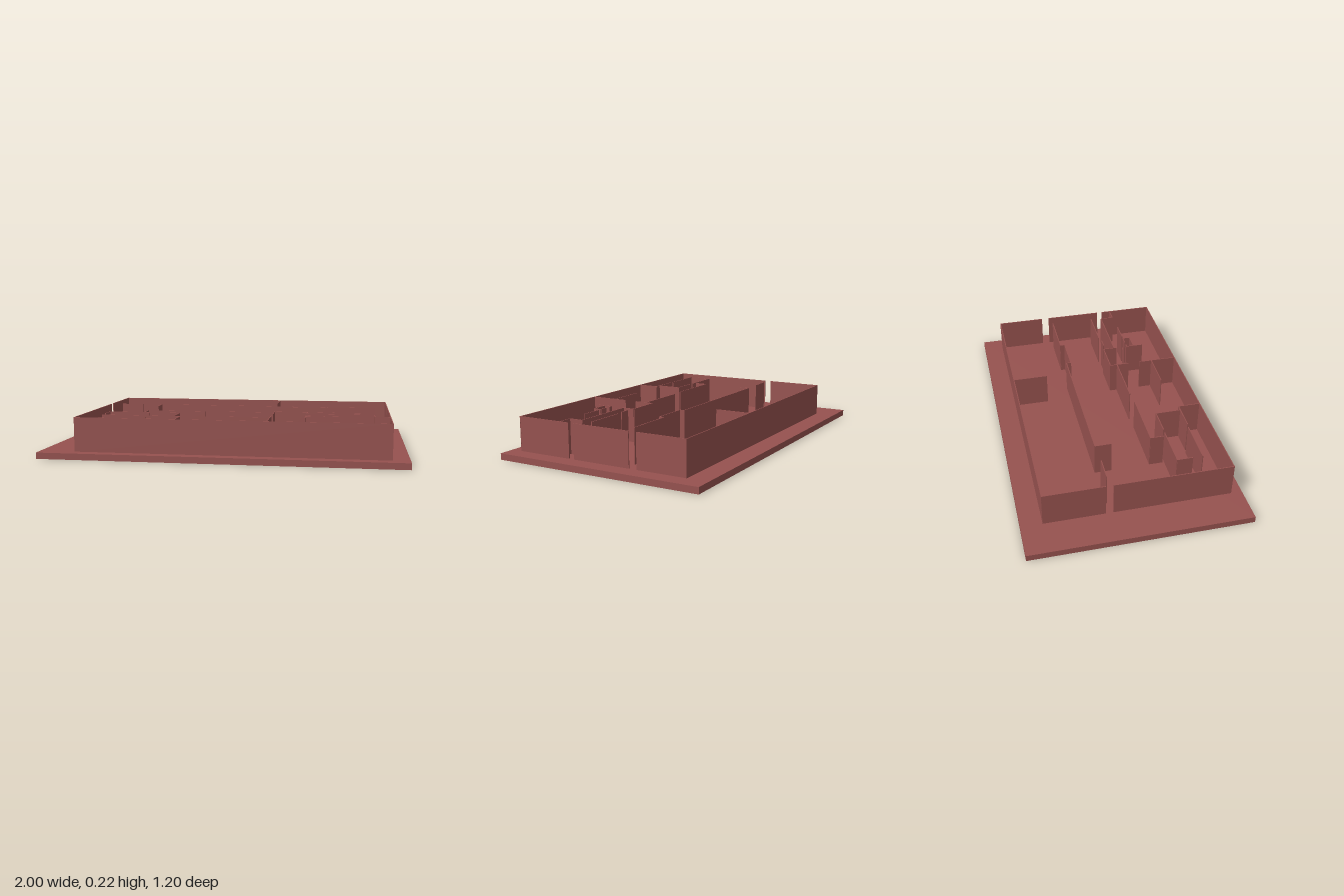
import * as THREE from 'three';

const BASE = 0.035, TOP = 0.225, T = 0.005;

export function createModel() {
  const model = new THREE.Group();
  const material = new THREE.MeshStandardMaterial({ color: 0x96524f, flatShading: true });

  function box(name, parent, x0, x1, y0, y1, z0, z1) {
    const mesh = new THREE.Mesh(new THREE.BoxGeometry(x1 - x0, y1 - y0, z1 - z0), material);
    mesh.position.set((x0 + x1) / 2, (y0 + y1) / 2, (z0 + z1) / 2);
    mesh.name = name;
    parent.add(mesh);
  }
  // Walls running along x (at depth z) or along z (at position x)
  const wallX = (name, parent, z, a, b) => box(name, parent, a, b, BASE, TOP, z - T / 2, z + T / 2);
  const wallZ = (name, parent, x, a, b) => box(name, parent, x - T / 2, x + T / 2, BASE, TOP, a, b);

  // Ground slab
  box('floorSlab', model, -1, 1, 0, BASE, -0.6, 0.6);

  // Outer walls with door gaps at both ends
  const outer = new THREE.Group();
  outer.name = 'outerWalls';
  model.add(outer);
  wallX('backWall', outer, -0.481, -0.802, 0.908, );
  wallX('frontWall', outer, 0.537, -0.802, 0.908);
  for (const [a, b] of [[-0.483, -0.2], [-0.155, 0.185], [0.215, 0.537]]) wallZ('rightWall', outer, 0.905, a, b);
  for (const [a, b] of [[-0.483, -0.15], [-0.11, 0.537]]) wallZ('leftWall', outer, -0.8, a, b);

  // Inner partitions
  const inner = new THREE.Group();
  inner.name = 'innerWalls';
  model.add(inner);

  // Lengthwise partitions: z, then start and end in x
  const lengthwise = [
    [-0.13, -0.73, -0.6], [-0.137, -0.48, 0.34], [-0.11, 0.34, 0.55], [-0.137, 0.55, 0.83],
    [0.125, 0.255, 0.445], [0.135, 0.49, 0.55], [0.125, 0.585, 0.83],
    [0.175, -0.48, -0.14], [0.167, -0.06, 0.255], [0.193, 0.445, 0.82],
    [0.277, 0.445, 0.47], [0.277, 0.495, 0.545], [0.277, 0.565, 0.69], [0.272, 0.82, 0.905],
    [0.322, 0.445, 0.545], [0.263, -0.685, -0.45], [0.265, -0.425, -0.275],
    [0.387, 0.035, 0.255], [0.405, -0.685, -0.435], [0.41, -0.41, -0.24],
  ];
  for (const [z, a, b] of lengthwise) wallX('lengthwisePartition', inner, z, a, b);

  // Cross partitions: x, then start and end in z
  const cross = [
    [0.23, -0.48, -0.28], [-0.48, -0.137, -0.045], [-0.48, 0.175, 0.25],
    [0.34, -0.137, -0.11], [0.55, -0.137, -0.11],
    [-0.685, 0.263, 0.35], [-0.275, 0.265, 0.41], [-0.24, 0.41, 0.537],
    [0.255, 0.125, 0.24], [0.255, 0.31, 0.537],
    [0.445, 0.125, 0.21], [0.445, 0.277, 0.38], [0.545, 0.277, 0.322], [0.82, 0.193, 0.272],
  ];
  for (const [x, a, b] of cross) wallZ('crossPartition', inner, x, a, b);

  return model;
}
